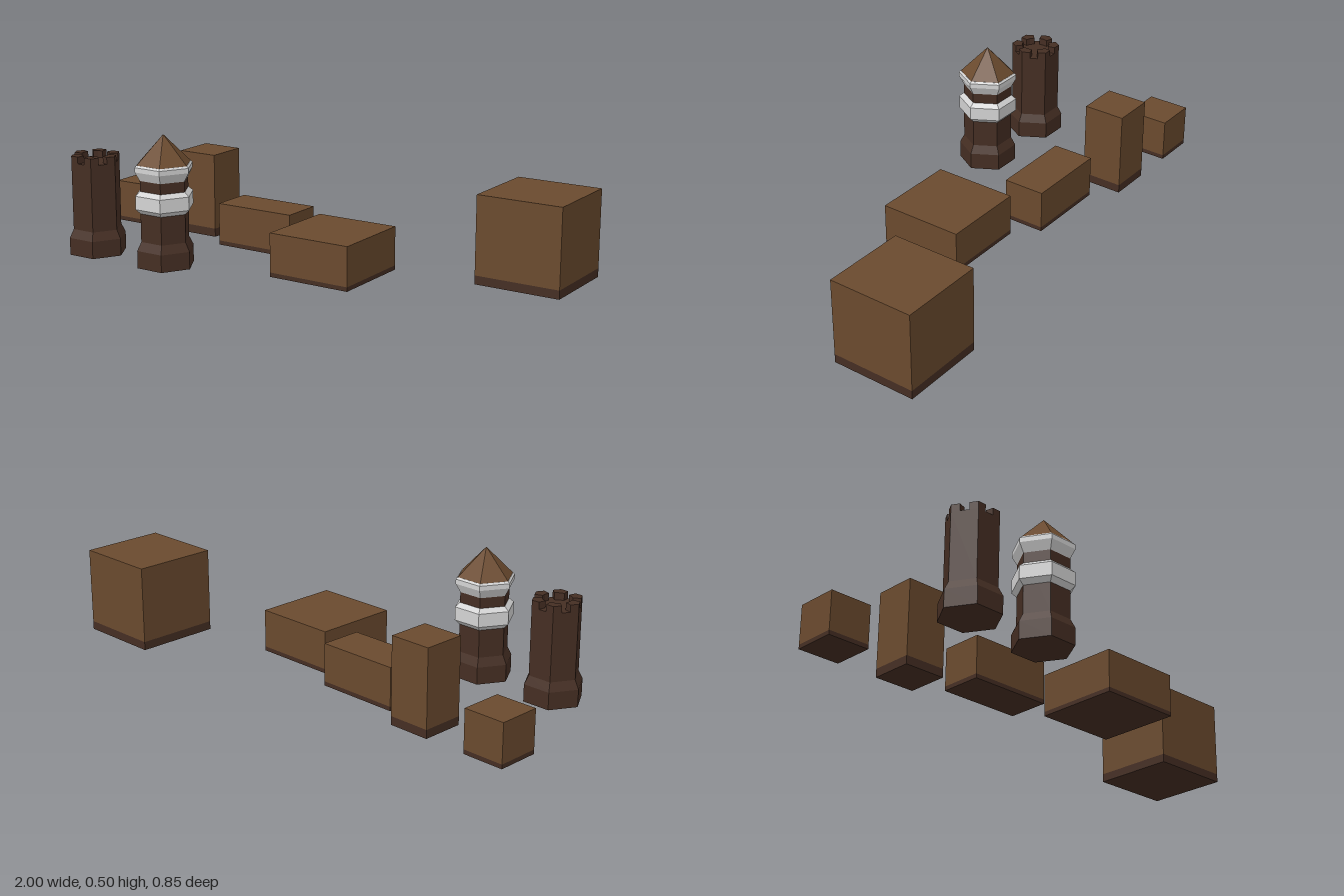
import * as THREE from 'three';

const wood = new THREE.MeshStandardMaterial({ color: 0x6a4a2e });
const darkWood = new THREE.MeshStandardMaterial({ color: 0x452e23 });
const paleStone = new THREE.MeshStandardMaterial({ color: 0xd4d4d4 });
wood.name = 'wood';
darkWood.name = 'darkWood';
paleStone.name = 'paleStone';

const SHAFT = 0.096; // corner radius of a tower shaft
const FOOT = 0.113; // corner radius of a tower foot
const RIM = 0.115; // corner radius of the pale bands

function add(parent, name, geometry, material) {
  const mesh = new THREE.Mesh(geometry, material);
  mesh.name = name;
  parent.add(mesh);
  return mesh;
}

// Faceted six-sided solid from [radius, height] pairs, bottom to top, corners on x
function hexSolid(profile) {
  const points = profile.map(([r, y]) => new THREE.Vector2(r, y));
  const geometry = new THREE.LatheGeometry(points, 6, Math.PI / 6).toNonIndexed();
  geometry.computeVertexNormals();
  return geometry;
}

// Block building with a dark plinth over the lowest tenth
function block(name, x, z, width, height, depth) {
  const group = new THREE.Group();
  group.name = name;
  group.position.set(x, 0, z);
  const plinth = height * 0.1;
  add(group, 'plinth', new THREE.BoxGeometry(width, plinth, depth), darkWood).position.y = plinth / 2;
  add(group, 'walls', new THREE.BoxGeometry(width, height - plinth, depth), wood).position.y = (height + plinth) / 2;
  return group;
}

function tower(name, x) {
  const group = new THREE.Group();
  group.name = name;
  group.position.set(x, 0, 0.325);
  return group;
}

// Battlement piece wrapping one corner of the hexagon
function merlonGeometry(height) {
  const half = THREE.MathUtils.degToRad(19);
  const outer = SHAFT * Math.cos(Math.PI / 6) / Math.cos(Math.PI / 6 - half);
  const polar = (r, a) => new THREE.Vector2(r * Math.cos(a), r * Math.sin(a));
  const shape = new THREE.Shape([
    polar(0.055, -half), polar(outer, -half), polar(SHAFT, 0),
    polar(outer, half), polar(0.055, half), polar(0.055, 0),
  ]);
  return new THREE.ExtrudeGeometry(shape, { depth: height, bevelEnabled: false }).rotateX(-Math.PI / 2);
}

export function createModel() {
  const model = new THREE.Group();
  model.name = 'village';

  // Block buildings
  const s = 1 / 6;
  model.add(
    block('smallBlock', -0.917, -0.177, s, s, s),
    block('tallBlock', -0.583, -0.177, s, 2 * s, s),
    block('longBlock', -0.25, -0.094, 2 * s, s, s),
    block('wideBlock', s, 0.073, 2 * s, s, 2 * s),
    block('largeBlock', 0.833, -0.26, 2 * s, 2 * s, 2 * s),
  );

  // Tower with battlements
  const battlementTower = tower('battlementTower', -0.75);
  add(battlementTower, 'shaft', hexSolid([
    [0, 0], [FOOT, 0], [FOOT, 0.067], [SHAFT, 0.1], [SHAFT, 0.359], [0, 0.359],
  ]), darkWood);
  const merlon = merlonGeometry(0.027);
  for (let i = 0; i < 6; i++) {
    const mesh = add(battlementTower, 'merlon', merlon, darkWood);
    mesh.position.y = 0.359;
    mesh.rotation.y = i * Math.PI / 3;
  }
  model.add(battlementTower);

  // Tower with pale bands and a pointed roof
  const roofedTower = tower('roofedTower', -0.417);
  add(roofedTower, 'shaft', hexSolid([
    [0, 0], [FOOT, 0], [FOOT, 0.067], [SHAFT, 0.1], [SHAFT, 0.34], [0, 0.34],
  ]), darkWood);
  add(roofedTower, 'lowerBand', hexSolid([
    [SHAFT, 0.208], [RIM, 0.226], [RIM, 0.277], [SHAFT, 0.293],
  ]), paleStone);
  add(roofedTower, 'upperBand', hexSolid([
    [SHAFT, 0.333], [RIM, 0.367], [RIM, 0.385], [0.108, 0.392], [0.1, 0.392],
  ]), paleStone);
  add(roofedTower, 'roof', hexSolid([[0.107, 0.392], [0, 0.5]]), wood);
  model.add(roofedTower);

  return model;
}
